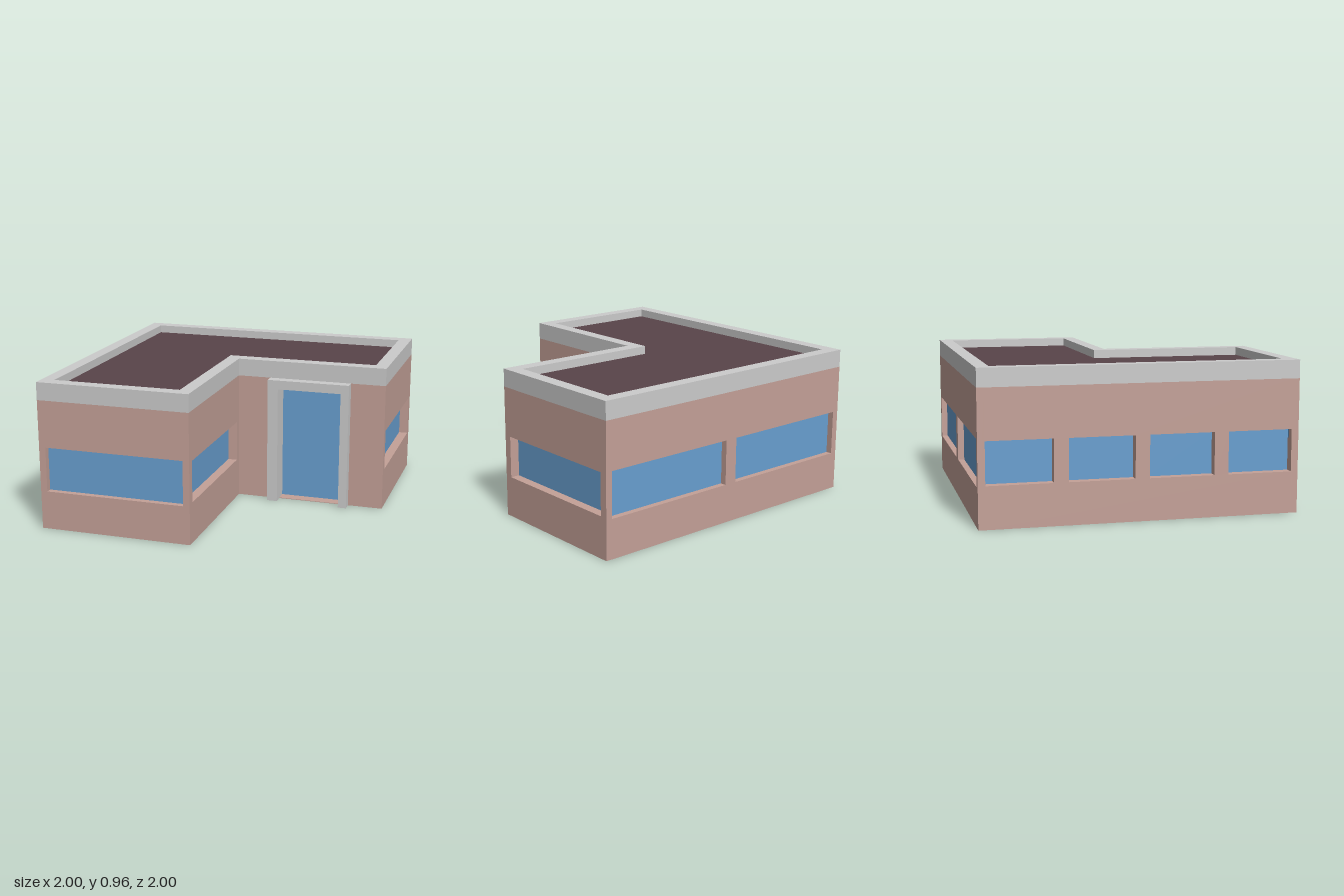
import * as THREE from 'three';

const mat = (color) => new THREE.MeshStandardMaterial({ color });

export function createModel() {
  const building = new THREE.Group();
  building.name = 'building';
  const brick = mat(0xc4a198), glass = mat(0x689fd0), concrete = mat(0xcccccc), roofing = mat(0x594449);
  const BAND = 0.845, TOP = 0.96, ROOF = 0.907;

  const add = (parent, name, geometry, material) => {
    const mesh = new THREE.Mesh(geometry, material);
    mesh.name = name;
    parent.add(mesh);
    return mesh;
  };
  const polygon = (Type, points) => new Type(points.map(([x, y]) => new THREE.Vector2(x, y)));
  const extrude = (shape, depth) => new THREE.ExtrudeGeometry(shape, { depth, bevelEnabled: false });

  // L-shaped plan, drawn inward by d (shape y runs towards the back)
  const plan = (d) => [
    [-1 + d, -1 + d], [-d, -1 + d], [-d, d], [1 - d, d], [1 - d, 1 - d], [-1 + d, 1 - d],
  ];
  const slab = (name, shape, y0, y1, material) =>
    add(building, name, extrude(shape, y1 - y0).rotateX(-Math.PI / 2).translate(0, y0, 0), material);

  // Floor, roof and parapet ring
  slab('floor', polygon(THREE.Shape, plan(0)), 0, 0.004, brick);
  slab('roof', polygon(THREE.Shape, plan(0.08)), BAND, ROOF, roofing);
  const ring = polygon(THREE.Shape, plan(0));
  ring.holes.push(polygon(THREE.Path, plan(0.085)));
  slab('parapet', ring, BAND, TOP, concrete);

  // Wall facing local +z, with a row of equal windows set back by recess
  const T = 0.045;
  function wall(name, { x, z, turn, length, count, recess, y0, y1, margin, trim = [0, 0] }) {
    const group = new THREE.Group();
    group.name = name;
    group.position.set(x, 0, z);
    group.rotation.y = turn;
    const a = -length / 2 + trim[0], b = length / 2 - trim[1];
    const shape = polygon(THREE.Shape, [[a, 0], [b, 0], [b, BAND], [a, BAND]]);
    const cell = length / count, thickness = recess + 0.005;
    for (let i = 0; i < count; i++) {
      const l = -length / 2 + i * cell + margin, r = l + cell - 2 * margin;
      shape.holes.push(polygon(THREE.Path, [[l, y0], [l, y1], [r, y1], [r, y0]]));
      add(group, 'windowPane', new THREE.BoxGeometry(r - l, y1 - y0, 0.005), glass)
        .position.set((l + r) / 2, (y0 + y1) / 2, -recess - 0.0025);
    }
    add(group, 'wallPanel', extrude(shape, thickness).translate(0, 0, -thickness), brick);
    building.add(group);
  }
  const wide = { recess: 0.04, y0: 0.25, y1: 0.54, margin: 0.043 };
  const side = { recess: 0.06, y0: 0.263, y1: 0.53, margin: 0.05 };
  const q = Math.PI / 2;
  wall('wingFrontWall', { ...wide, x: -0.5, z: 1, turn: 0, length: 1, count: 1 });
  wall('backWall', { ...wide, x: 0, z: -1, turn: 2 * q, length: 2, count: 2 });
  wall('wingInnerWall', { ...side, x: 0, z: 0.5, turn: q, length: 1, count: 1, trim: [T, 0] });
  wall('leftEndWall', { ...side, x: 1, z: -0.5, turn: q, length: 1, count: 1, trim: [T, T] });
  wall('rightWall', { ...side, margin: 0.045, x: -1, z: 0, turn: -q, length: 2, count: 4, trim: [T, T] });

  // Entrance wall, notched for the door frame
  const fx0 = 0.22, fx1 = 0.77, dx0 = 0.29, dx1 = 0.715, doorTop = 0.785;
  const entrance = polygon(THREE.Shape, [
    [0, 0], [fx0, 0], [fx0, BAND - 0.002], [fx1, BAND - 0.002], [fx1, 0], [1, 0], [1, BAND], [0, BAND],
  ]);
  add(building, 'entranceWall', extrude(entrance, T).translate(0, 0, -T), brick);

  // Door frame standing proud of the wall, with the glass door set deep inside
  const frame = polygon(THREE.Shape, [
    [fx0, 0], [dx0, 0], [dx0, doorTop], [dx1, doorTop], [dx1, 0], [fx1, 0], [fx1, BAND], [fx0, BAND],
  ]);
  add(building, 'doorFrame', extrude(frame, 0.145).translate(0, 0, -0.08), concrete);
  add(building, 'door', new THREE.BoxGeometry(dx1 - dx0, doorTop - 0.002, 0.006), glass)
    .position.set((dx0 + dx1) / 2, doorTop / 2 + 0.001, -0.078);

  return building;
}
